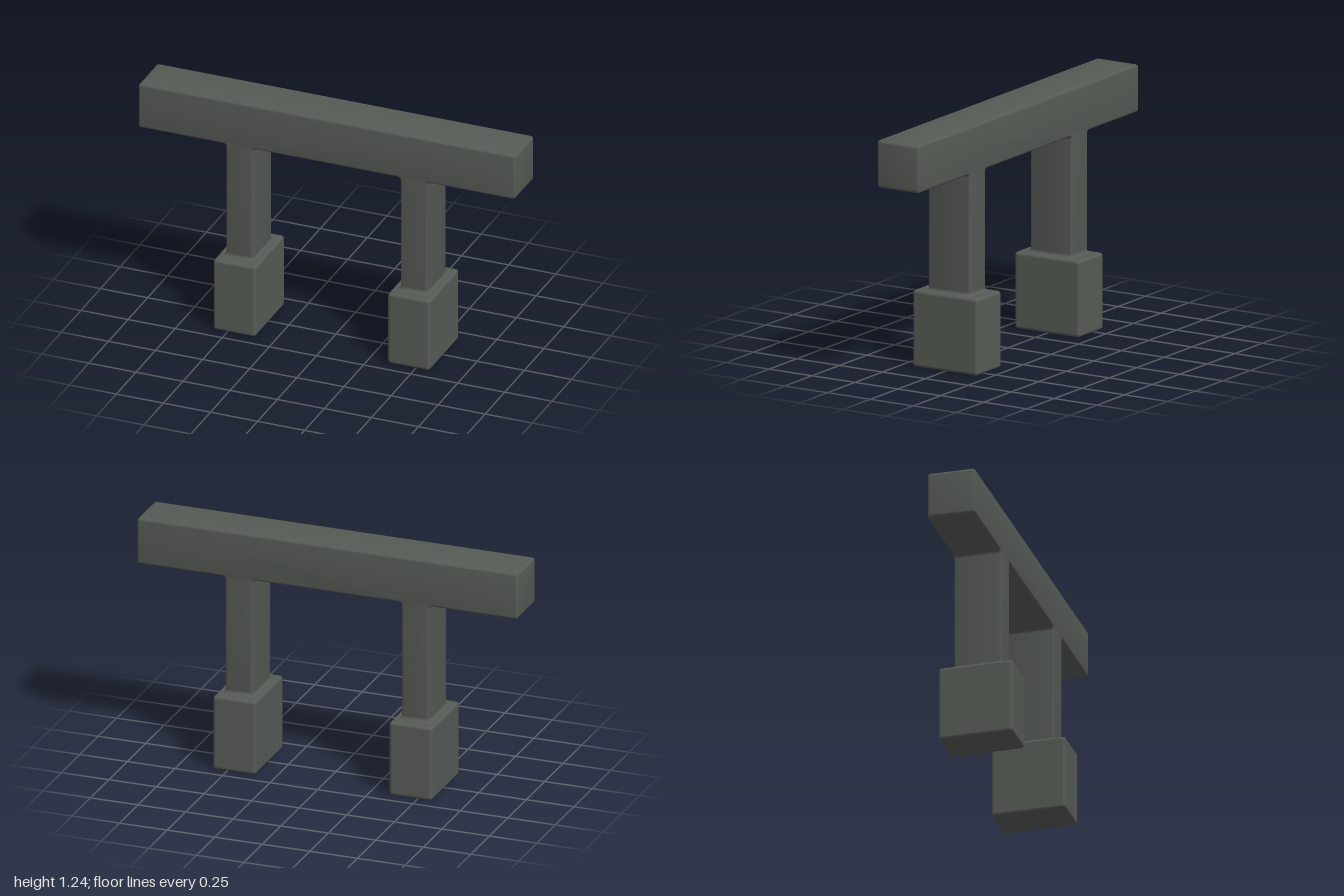
import * as THREE from 'three';
import { toCreasedNormals } from 'three/addons/utils/BufferGeometryUtils.js';
import { RoundedBoxGeometry } from 'three/addons/geometries/RoundedBoxGeometry.js';

const TOP = 1.24, BEAM_Y = 1.0, DEPTH = 0.242;
const LEG_X = 0.463, LEG_HALF = 0.073;
const FOOT_W = 0.225, FOOT_H = 0.387, FOOT_D = 0.378;
const R = 0.016, BEVEL = 0.012, FLARE = 0.018;

// Closed shape whose corners are all softened by radius r
function softShape(corners, r) {
  const pts = corners.map(([x, y]) => new THREE.Vector2(x, y));
  const shape = new THREE.Shape();
  pts.forEach((p, i) => {
    const before = pts[(i + pts.length - 1) % pts.length];
    const after = pts[(i + 1) % pts.length];
    const a = before.clone().sub(p).setLength(r).add(p);
    const b = after.clone().sub(p).setLength(r).add(p);
    if (i === 0) shape.moveTo(a.x, a.y); else shape.lineTo(a.x, a.y);
    shape.quadraticCurveTo(p.x, p.y, b.x, b.y);
  });
  shape.closePath();
  return shape;
}

// Beam and both legs in one outline, since they are flush front and back
function frameGeometry() {
  const low = FOOT_H - 0.05;
  const leg = x => [[x - LEG_HALF, BEAM_Y], [x - LEG_HALF, low], [x + LEG_HALF, low], [x + LEG_HALF, BEAM_Y]];
  const shape = softShape([[-1, TOP], [-1, BEAM_Y], ...leg(-LEG_X), ...leg(LEG_X), [1, BEAM_Y], [1, TOP]], R);
  const geo = new THREE.ExtrudeGeometry(shape, {
    depth: DEPTH - 2 * BEVEL, bevelEnabled: true, bevelThickness: BEVEL,
    bevelSize: BEVEL, bevelOffset: -BEVEL, bevelSegments: 3, curveSegments: 4,
  });
  geo.translate(0, 0, -DEPTH / 2 + BEVEL);
  return toCreasedNormals(geo, 0.6);
}

// Concave fillet where a leg meets its foot: a lathe stretched to a rectangle
function filletGeometry() {
  const profile = [];
  for (let i = 0; i <= 5; i++) {
    const a = (i / 5) * Math.PI / 2;
    profile.push(new THREE.Vector2(BEVEL + FLARE * (1 - Math.sin(a)), FLARE * (1 - Math.cos(a))));
  }
  const geo = new THREE.LatheGeometry(profile, 16, Math.PI / 16);
  const p = geo.attributes.position;
  for (let i = 0; i < p.count; i++) {
    p.setX(i, p.getX(i) + Math.sign(p.getX(i)) * (LEG_HALF - BEVEL));
    p.setZ(i, p.getZ(i) + Math.sign(p.getZ(i)) * (DEPTH / 2 - BEVEL));
  }
  return toCreasedNormals(geo, 0.6);
}

export function createModel() {
  const model = new THREE.Group();
  model.name = 'beamStand';
  const stone = new THREE.MeshStandardMaterial({ color: 0x565b55 });
  stone.name = 'darkGrey';

  const add = (name, geo, x, y) => {
    const mesh = new THREE.Mesh(geo, stone);
    mesh.name = name;
    mesh.position.set(x, y, 0);
    model.add(mesh);
  };

  add('beamAndLegs', frameGeometry(), 0, 0);

  // Feet with their fillets
  const foot = new RoundedBoxGeometry(FOOT_W, FOOT_H, FOOT_D, 3, R);
  const fillet = filletGeometry();
  for (const [side, x] of [['left', LEG_X], ['right', -LEG_X]]) {
    add(side + 'Foot', foot, x, FOOT_H / 2);
    add(side + 'FootFillet', fillet, x, FOOT_H - 0.001);
  }
  return model;
}
